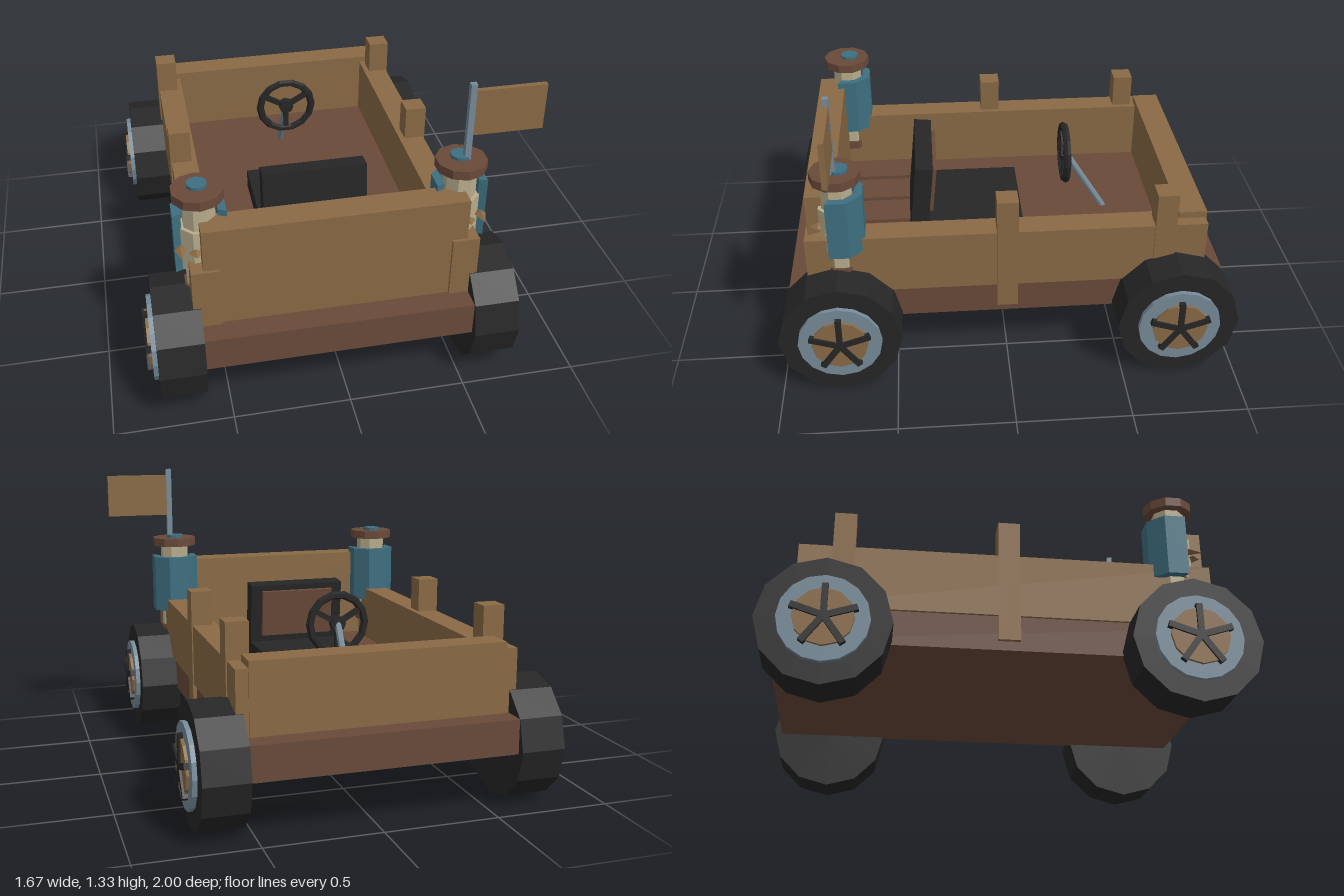
import * as THREE from 'three';

const mat = (name, color) => {
  const m = new THREE.MeshStandardMaterial({ color });
  m.name = name;
  return m;
};

export function createModel() {
  const wood = mat('wood', 0x8a6a45);
  const brown = mat('dark brown wood', 0x6a4a3a);
  const black = mat('black rubber', 0x262626);
  const steel = mat('blue grey steel', 0x768b99);
  const teal = mat('teal', 0x3f6f80);
  const cream = mat('cream', 0xb8ad8c);

  const model = new THREE.Group();
  model.name = 'woodenCart';
  const cart = new THREE.Group();
  cart.name = 'cart';
  cart.position.x = -0.0325;
  model.add(cart);

  // Adds a flat-faceted mesh
  const add = (parent, name, geo, material, x = 0, y = 0, z = 0) => {
    const g = geo.index ? geo.toNonIndexed() : geo;
    g.computeVertexNormals();
    const mesh = new THREE.Mesh(g, material);
    mesh.name = name;
    mesh.position.set(x, y, z);
    parent.add(mesh);
    return mesh;
  };
  // Box given by its limits on each axis
  const box = (parent, name, material, [x0, x1], [y0, y1], [z0, z1]) =>
    add(parent, name, new THREE.BoxGeometry(x1 - x0, y1 - y0, z1 - z0), material,
      (x0 + x1) / 2, (y0 + y1) / 2, (z0 + z1) / 2);
  const drum = (r, h, n, turn = 0) => new THREE.CylinderGeometry(r, r, h, n).rotateY(turn);

  // Chassis and walls
  box(cart, 'chassis', brown, [-0.585, 0.585], [0.25, 0.4], [-0.965, 0.957]);
  box(cart, 'frontWall', wood, [-0.547, 0.547], [0.4, 0.862], [0.73, 0.852]);
  box(cart, 'backWall', wood, [-0.545, 0.545], [0.4, 0.705], [-0.87, -0.748]);
  for (const s of [-1, 1]) {
    const side = add(cart, 'sideWall', new THREE.BoxGeometry(0.115, 0.275, 1.73), wood, s * 0.54, 0.5375, 0);
    side.name = s > 0 ? 'leftSideWall' : 'rightSideWall';
    for (const z of [0.003, -0.681])
      add(cart, 'wallPost', new THREE.BoxGeometry(0.096, 0.54, 0.092), wood, s * 0.555, 0.56, z);
  }

  // Floor slats in front of the seat
  for (let i = -2; i <= 2; i++)
    add(cart, 'floorSlat', new THREE.BoxGeometry(0.16, 0.02, 0.37), brown, i * 0.195, 0.408, 0.585);

  // Seat with leaning backrest
  box(cart, 'seatCushion', black, [-0.233, 0.233], [0.4, 0.49], [-0.1, 0.36]);
  const rest = new THREE.Group();
  rest.name = 'seatBack';
  rest.position.set(0, 0.4, 0.388);
  rest.rotation.x = -0.1;
  cart.add(rest);
  box(rest, 'backrest', black, [-0.233, 0.233], [0, 0.383], [-0.04, 0.04]);
  box(rest, 'backrestPanel', brown, [-0.178, 0.178], [0.13, 0.355], [-0.06, -0.035]);

  // Steering wheel and its slanted column
  const steering = new THREE.Group();
  steering.name = 'steeringWheel';
  steering.position.set(0, 0.705, -0.315);
  cart.add(steering);
  add(steering, 'steeringRim', new THREE.TorusGeometry(0.128, 0.018, 6, 14), black);
  add(steering, 'steeringHub', drum(0.035, 0.036, 8).rotateX(Math.PI / 2), black);
  for (let i = 0; i < 3; i++)
    add(steering, 'steeringSpoke', new THREE.BoxGeometry(0.024, 0.13, 0.018).translate(0, 0.065, 0), black)
      .rotation.z = Math.PI + i * Math.PI * 2 / 3;
  const from = new THREE.Vector3(0, 0.39, -0.515), to = new THREE.Vector3(0, 0.705, -0.32);
  const dir = to.clone().sub(from);
  const column = add(cart, 'steeringColumn', drum(0.016, dir.length(), 8), steel);
  column.position.copy(from).add(to).multiplyScalar(0.5);
  column.quaternion.setFromUnitVectors(new THREE.Vector3(0, 1, 0), dir.normalize());

  // Wheels: tyre, rim, wooden hub disc and five spokes
  for (const s of [-1, 1]) for (const z of [0.735, -0.735]) {
    const wheel = new THREE.Group();
    wheel.name = (z > 0 ? 'front' : 'back') + (s > 0 ? 'Left' : 'Right') + 'Wheel';
    wheel.position.set(0, 0.266, z);
    cart.add(wheel);
    const disc = (name, material, r, x0, x1, n) =>
      add(wheel, name, drum(r, x1 - x0, n).rotateZ(Math.PI / 2), material, s * (x0 + x1) / 2);
    disc('tyre', black, 0.266, 0.567, 0.76, 12);
    disc('rim', steel, 0.18, 0.7, 0.78, 16);
    disc('hubDisc', wood, 0.12, 0.74, 0.793, 12);
    for (let i = 0; i < 5; i++)
      add(wheel, 'wheelSpoke', new THREE.BoxGeometry(0.022, 0.135, 0.026).translate(0, 0.0675, 0), black, s * 0.7915)
        .rotation.x = i * Math.PI * 2 / 5;
  }

  // Teal wrap around the back five sides of an octagon
  const wrap = new THREE.Shape();
  const arc = (r, i) => {
    const a = (67.5 + 45 * i) * Math.PI / 180;
    return new THREE.Vector2(r * Math.sin(a), -r * Math.cos(a));
  };
  const ring = [0, 1, 2, 3, 4, 5];
  wrap.setFromPoints([...ring.map(i => arc(0.117, i)), ...ring.reverse().map(i => arc(0.08, i))]);

  // Lantern towers on the front corners
  const eighth = Math.PI / 8;
  for (const s of [-1, 1]) {
    const tower = new THREE.Group();
    tower.name = s > 0 ? 'leftLantern' : 'rightLantern';
    tower.position.set(s * 0.54, 0, 0.716);
    cart.add(tower);
    add(tower, 'lanternCollar', drum(0.08, 0.04, 8, eighth), brown, 0, 0.515);
    add(tower, 'lanternColumn', drum(0.07, 0.45, 8, eighth), cream, 0, 0.725);
    add(tower, 'lanternBody', drum(0.086, 0.2, 8, eighth), cream, 0, 0.72);
    add(tower, 'lanternWrap',
      new THREE.ExtrudeGeometry(wrap, { depth: 0.275, bevelEnabled: false }).rotateX(-Math.PI / 2), teal, 0, 0.615);
    add(tower, 'lanternCap', drum(0.108, 0.04, 10), brown, 0, 0.965);
    add(tower, 'lanternKnob', drum(0.042, 0.014, 10), teal, 0, 0.992, -0.015);
    add(tower, 'sideSpike', new THREE.OctahedronGeometry(1).scale(0.025, 0.017, 0.065), wood, s * 0.085, 0.73, 0.05);
    add(tower, 'frontSpike', new THREE.OctahedronGeometry(1).scale(0.03, 0.018, 0.035), wood, s * 0.025, 0.73, 0.085);
  }

  // Flag on the left lantern
  box(cart, 'flagPole', steel, [0.547, 0.573], [0.98, 1.332], [0.71, 0.735]);
  box(cart, 'flag', wood, [0.572, 0.867], [1.1, 1.302], [0.711, 0.734]);

  return model;
}
